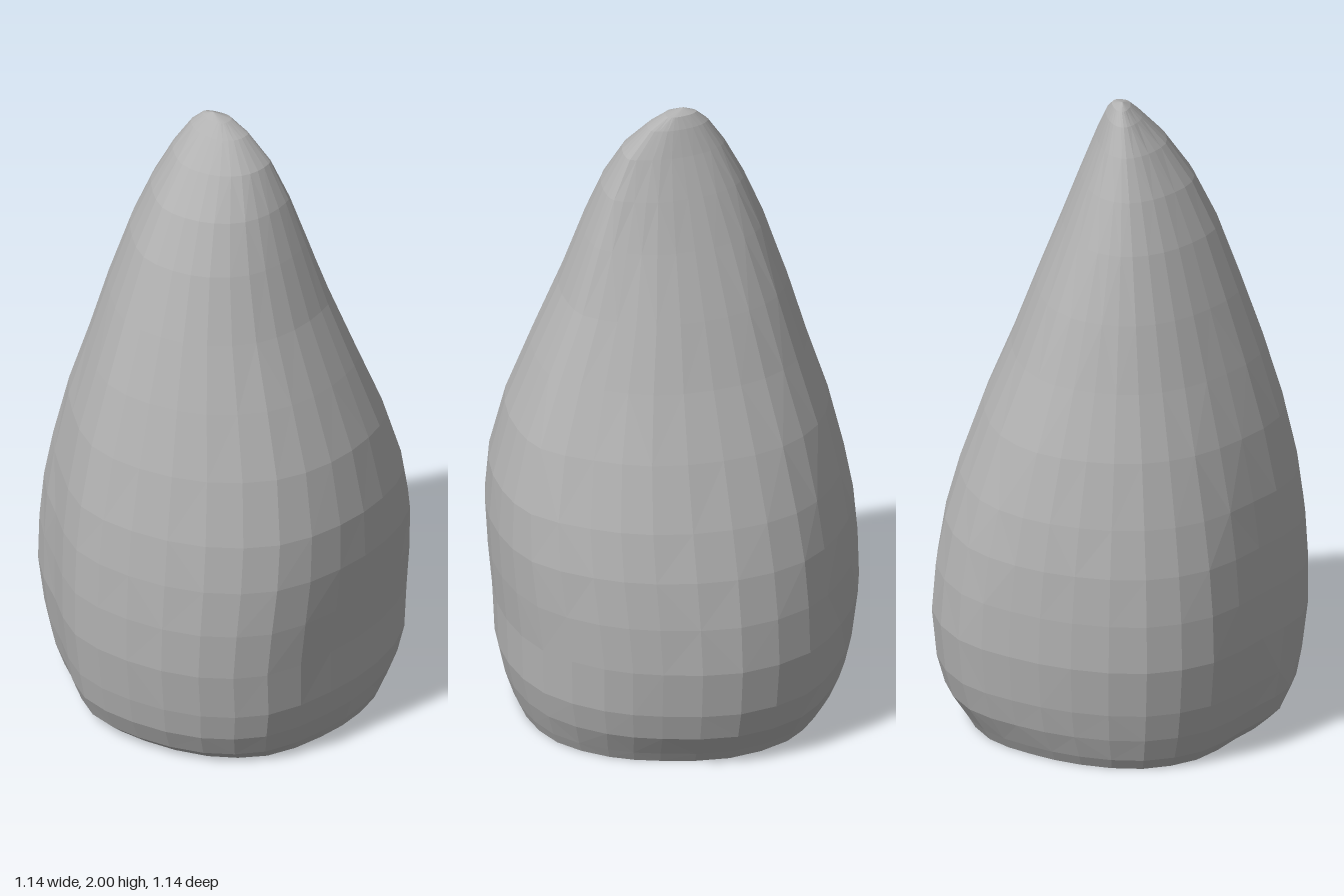
import * as THREE from 'three';

// Outline at each height: [y, left, right, front, back] distances from the axis
const RINGS = [
  [0, 0.49, 0.48, 0.465, 0.46], [0.035, 0.51, 0.495, 0.505, 0.48], [0.11, 0.535, 0.52, 0.54, 0.53],
  [0.2, 0.555, 0.54, 0.557, 0.555], [0.35, 0.575, 0.545, 0.575, 0.57], [0.5, 0.57, 0.56, 0.575, 0.558],
  [0.65, 0.555, 0.57, 0.565, 0.53], [0.8, 0.525, 0.56, 0.545, 0.485], [1.0, 0.475, 0.51, 0.5, 0.41],
  [1.2, 0.41, 0.43, 0.44, 0.325], [1.4, 0.352, 0.345, 0.372, 0.25], [1.6, 0.285, 0.275, 0.3, 0.17],
  [1.75, 0.222, 0.22, 0.228, 0.112], [1.87, 0.16, 0.16, 0.145, 0.065], [1.95, 0.107, 0.085, 0.07, 0.037],
  [1.985, 0.07, 0.028, 0.035, 0.02],
];
// Unit cross-sections, running from +x towards +z
const LOWER = [[1, 0], [0.93, 0.38], [0.75, 0.75], [0.43, 0.95], [0, 1], [-0.36, 0.92], [-0.63, 0.67], [-0.91, 0.37],
  [-1, 0], [-0.88, -0.39], [-0.67, -0.69], [-0.41, -0.92], [0, -1], [0.42, -0.87], [0.7, -0.7], [0.94, -0.39]];
const UPPER = [[1, 0], [0.95, 0.35], [0.77, 0.68], [0.42, 0.92], [0, 1], [-0.4, 0.93], [-0.72, 0.65], [-0.93, 0.33],
  [-1, 0], [-0.92, -0.4], [-0.74, -0.74], [-0.42, -0.96], [0, -1], [0.42, -0.89], [0.72, -0.64], [0.96, -0.33]];
const SIDES = 32;

// Closed smooth section, blended between the two outlines and stretched to the ring
function section([y, left, right, front, back]) {
  const t = THREE.MathUtils.smoothstep(y, 0.3, 1.2);
  const pts = LOWER.map(([x, z], i) => {
    const px = THREE.MathUtils.lerp(x, UPPER[i][0], t);
    const pz = THREE.MathUtils.lerp(z, UPPER[i][1], t);
    return new THREE.Vector3(px * (px < 0 ? left : right), y, pz * (pz < 0 ? back : front));
  });
  const curve = new THREE.CatmullRomCurve3(pts, true);
  return Array.from({ length: SIDES }, (_, i) => curve.getPoint(i / SIDES));
}

function mesh(name, positions, index, material) {
  const geometry = new THREE.BufferGeometry();
  geometry.setAttribute('position', new THREE.Float32BufferAttribute(positions, 3));
  geometry.setIndex(index);
  const flat = geometry.toNonIndexed();
  flat.computeVertexNormals();
  const m = new THREE.Mesh(flat, material);
  m.name = name;
  return m;
}

export function createModel() {
  const group = new THREE.Group();
  group.name = 'standingStone';
  const stone = new THREE.MeshStandardMaterial({ name: 'stoneGrey', color: 0xb2b2b2 });

  // Faceted body: rings joined up to the rounded tip
  const positions = [];
  RINGS.forEach((r) => section(r).forEach((p) => positions.push(p.x, p.y, p.z)));
  const tip = RINGS.length * SIDES;
  positions.push(-0.03, 2, 0.008);
  const index = [];
  for (let j = 0; j < RINGS.length; j++) {
    for (let i = 0; i < SIDES; i++) {
      const a = j * SIDES + i;
      const b = j * SIDES + ((i + 1) % SIDES);
      if (j === RINGS.length - 1) index.push(a, tip, b);
      else if ((i + j) % 2) index.push(a, a + SIDES, b, b, a + SIDES, b + SIDES);
      else index.push(a, a + SIDES, b + SIDES, a, b + SIDES, b);
    }
  }
  group.add(mesh('stoneBody', positions, index, stone));

  // Flat underside
  const base = [0, 0, 0];
  section(RINGS[0]).forEach((p) => base.push(p.x, 0, p.z));
  const fan = [];
  for (let i = 0; i < SIDES; i++) fan.push(0, 1 + i, 1 + ((i + 1) % SIDES));
  group.add(mesh('underside', base, fan, stone));

  return group;
}
